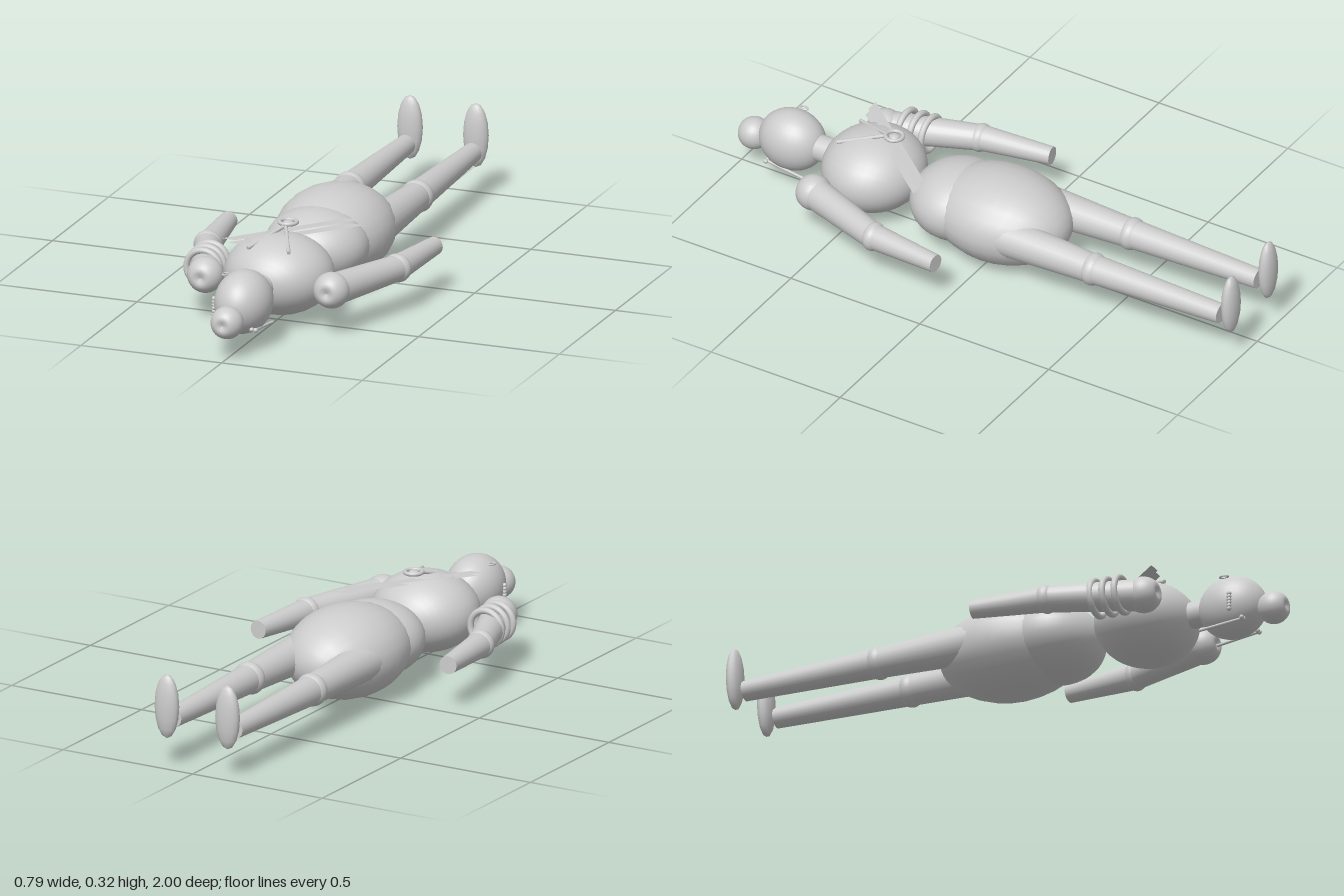
import * as THREE from 'three';

export function createModel() {
  const model = new THREE.Group();
  model.name = 'lyingFigure';

  const grey = new THREE.MeshStandardMaterial({ color: 0xcccccc, side: THREE.DoubleSide });
  grey.name = 'light grey';

  const add = (name, geometry) => {
    const mesh = new THREE.Mesh(geometry, grey);
    mesh.name = name;
    model.add(mesh);
    return mesh;
  };
  // Ellipsoid with its poles along z
  const ellipsoid = (name, pos, radii, w = 32, h = 20) => {
    const g = new THREE.SphereGeometry(1, w, h).rotateX(Math.PI / 2);
    g.scale(...radii);
    add(name, g).position.set(...pos);
  };
  // Tapered round limb from a to b
  const limb = (name, a, b, ra, rb, sides = 24) => {
    const start = new THREE.Vector3(...a), end = new THREE.Vector3(...b);
    const dir = end.clone().sub(start);
    const mesh = add(name, new THREE.CylinderGeometry(rb, ra, dir.length(), sides));
    mesh.position.copy(start).add(end).multiplyScalar(0.5);
    mesh.quaternion.setFromUnitVectors(new THREE.Vector3(0, 1, 0), dir.normalize());
  };
  // Ball with a small dimple facing +z
  const dimpledBall = (name, pos, r) => {
    const pts = [];
    for (let i = 0; i <= 20; i++) {
      const a = -Math.PI / 2 + (Math.PI * i) / 20;
      const x = Math.max(0, r * Math.cos(a));
      const dent = a > 0 ? 0.25 * r * Math.exp(-((x / (0.3 * r)) ** 2)) : 0;
      pts.push(new THREE.Vector2(x, r * Math.sin(a) - dent));
    }
    add(name, new THREE.LatheGeometry(pts, 28).rotateX(Math.PI / 2)).position.set(...pos);
  };

  // Head, bun and body
  dimpledBall('bun', [0, 0.128, 0.951], 0.055);
  ellipsoid('head', [0, 0.157, 0.802], [0.095, 0.107, 0.118]);
  limb('neck', [0, 0.16, 0.74], [0, 0.16, 0.6], 0.045, 0.045);
  ellipsoid('chest', [0, 0.16, 0.485], [0.185, 0.136, 0.173]);
  ellipsoid('waist', [0, 0.157, 0.15], [0.176, 0.127, 0.167]);
  ellipsoid('hips', [0, 0.157, -0.01], [0.195, 0.154, 0.252], 24, 16);

  for (const s of [1, -1]) {
    const side = s > 0 ? 'left' : 'right';

    // Arm
    const elbow = [s * 0.336, 0.155, 0.28];
    dimpledBall(side + 'Shoulder', [s * 0.224, 0.156, 0.582], 0.061);
    limb(side + 'UpperArm', [s * 0.228, 0.156, 0.57], elbow, 0.054, 0.044);
    ellipsoid(side + 'Elbow', elbow, [0.049, 0.049, 0.036]);
    limb(side + 'Forearm', elbow, [s * 0.366, 0.158, 0.022], 0.044, 0.031);

    // Leg and foot
    const knee = [s * 0.12, 0.16, -0.44];
    limb(side + 'Thigh', [s * 0.115, 0.163, -0.02], knee, 0.07, 0.05);
    ellipsoid(side + 'Knee', knee, [0.056, 0.056, 0.042]);
    limb(side + 'Shin', knee, [s * 0.118, 0.16, -0.933], 0.05, 0.034);
    const foot = add(side + 'Foot', new THREE.SphereGeometry(1, 16, 8));
    foot.scale.set(0.045, 0.111, 0.027);
    foot.position.set(s * 0.117, 0.211, -0.97);

    // Pin under the head, with small knobs
    limb(side + 'Pin', [s * 0.06, 0.082, 0.865], [s * 0.066, 0.066, 0.71], 0.005, 0.005, 10);
    for (const dx of [-0.007, 0.007])
      ellipsoid(side + 'PinKnob', [s * 0.06 + dx, 0.084, 0.865], [0.008, 0.008, 0.008], 12, 8);

    // Necklace cord
    limb(side + 'Cord', [0, 0.308, 0.43], [s * 0.073, 0.267, 0.585], 0.0065, 0.0065, 10);
  }

  // Bracelets on the right arm
  [0.432, 0.475, 0.518].forEach((z, i) => {
    add('bracelet', new THREE.TorusGeometry(0.06, 0.011, 12, 32))
      .position.set(-0.265 + i * 0.004, 0.156, z);
  });

  // Flat ring pendant on the chest
  add('pendantRing', new THREE.TorusGeometry(0.029, 0.007, 10, 28).rotateX(Math.PI / 2))
    .position.set(0, 0.313, 0.408);
  ellipsoid('pendantBead', [0, 0.311, 0.408], [0.018, 0.008, 0.018], 16, 10);

  // Two flat bands of a diagonal sash; height falls gently towards +x
  for (const [x, y, slope] of [[-0.165, 0.289, 0.02], [-0.147, 0.277, 0.034]]) {
    const corners = [[x, 0.582], [x + 0.047, 0.582], [x + 0.34, 0.215], [x + 0.293, 0.215]];
    const band = new THREE.BufferGeometry();
    band.setAttribute('position', new THREE.Float32BufferAttribute(
      corners.flatMap(([px, pz]) => [px, y - slope * (px - x), pz]), 3));
    band.setIndex([0, 1, 2, 0, 2, 3]);
    band.computeVertexNormals();
    add('sashBand', band);
  }

  // String of beads and a small ring at the right of the head
  for (let i = 0; i < 6; i++)
    ellipsoid('bead', [-0.094, 0.165 - i * 0.011, 0.832], [0.008, 0.008, 0.008], 12, 8);
  const ring = new THREE.TorusGeometry(0.011, 0.003, 8, 20).scale(0.8, 1.3, 1).rotateX(Math.PI / 2);
  add('smallRing', ring).position.set(-0.066, 0.243, 0.8);

  return model;
}
